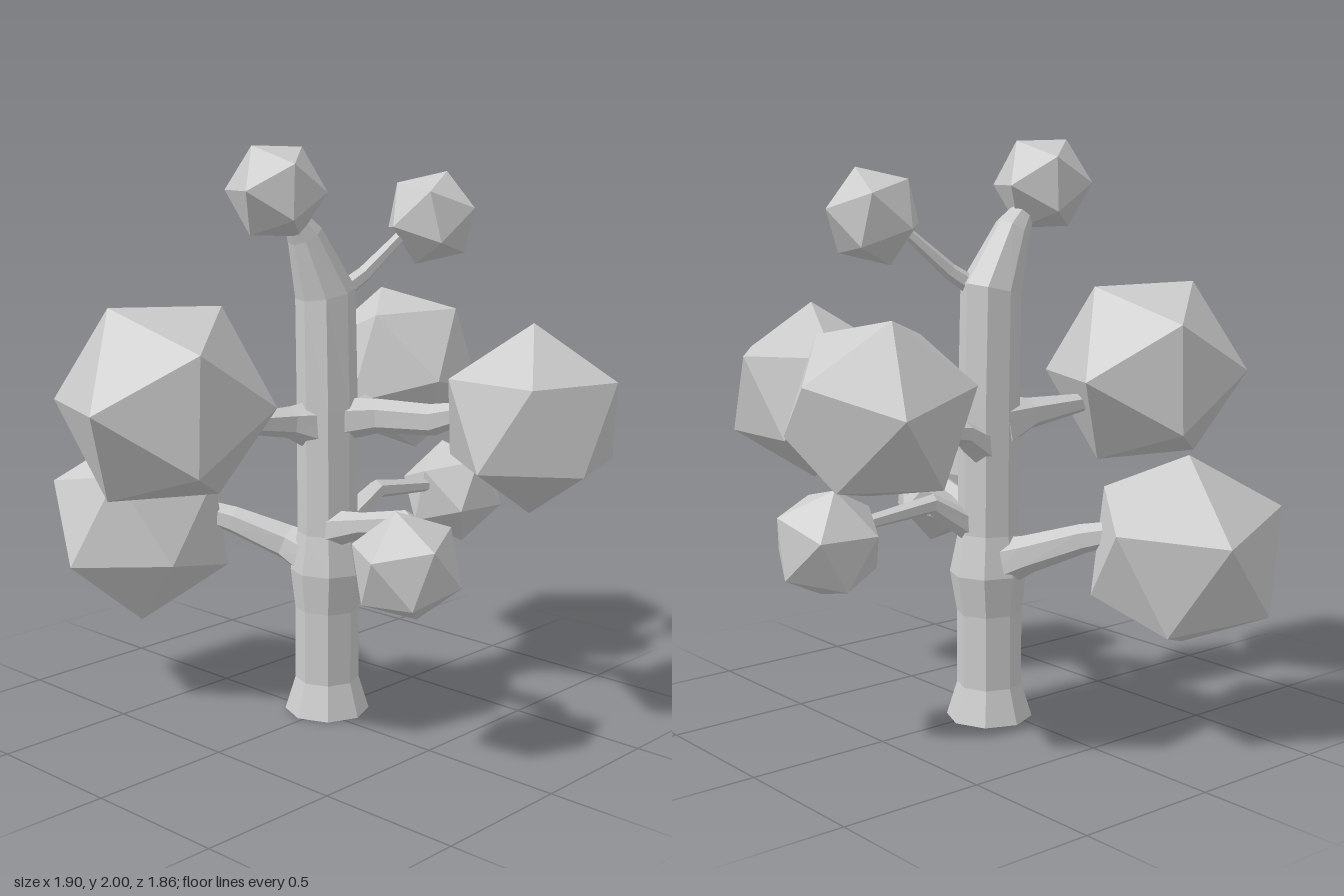
import * as THREE from 'three';

const V = (a) => new THREE.Vector3(...a);
const material = new THREE.MeshStandardMaterial({ color: 0xcccccc, flatShading: true });

// Faceted limb: rings [x, y, z, radius] joined into a closed tube
function limb(name, rings, sides, ref) {
  const centres = rings.map((r) => V(r));
  const pos = [];
  const index = [];
  const last = rings.length - 1;
  rings.forEach((ring, i) => {
    const t = new THREE.Vector3();
    if (i > 0) t.add(centres[i].clone().sub(centres[i - 1]).normalize());
    if (i < last) t.add(centres[i + 1].clone().sub(centres[i]).normalize());
    t.normalize();
    const u = ref.clone().addScaledVector(t, -ref.dot(t)).normalize();
    const v = t.clone().cross(u);
    for (let k = 0; k < sides; k++) {
      const a = (k / sides) * Math.PI * 2;
      const p = centres[i].clone()
        .addScaledVector(u, Math.cos(a) * ring[3])
        .addScaledVector(v, Math.sin(a) * ring[3]);
      pos.push(p.x, p.y, p.z);
      const n = (k + 1) % sides;
      const a0 = i * sides + k;
      const b0 = i * sides + n;
      if (i < last) index.push(a0, b0, a0 + sides, b0, b0 + sides, a0 + sides);
    }
  });
  // End caps
  const top = last * sides;
  for (let k = 1; k < sides - 1; k++) {
    index.push(0, k + 1, k, top, top + k, top + k + 1);
  }
  const geometry = new THREE.BufferGeometry();
  geometry.setAttribute('position', new THREE.Float32BufferAttribute(pos, 3));
  geometry.setIndex(index);
  const flat = geometry.toNonIndexed();
  flat.computeVertexNormals();
  const mesh = new THREE.Mesh(flat, material);
  mesh.name = name;
  return mesh;
}

// Rotation frame from one corner direction and a neighbouring corner
function frame(corner, neighbour) {
  const p = V(corner).normalize();
  const q = V(neighbour);
  q.addScaledVector(p, -p.dot(q)).normalize();
  return new THREE.Matrix4().makeBasis(p, q, p.clone().cross(q));
}

// Twenty-sided foliage ball, turned so its corners match the given directions
const PHI = (1 + Math.sqrt(5)) / 2;
const baseInverse = frame([1, PHI, 0], [-1, PHI, 0]).invert();
function foliage(name, centre, radius, corner, neighbour) {
  const mesh = new THREE.Mesh(new THREE.IcosahedronGeometry(radius, 0), material);
  mesh.quaternion.setFromRotationMatrix(frame(corner, neighbour).multiply(baseInverse));
  mesh.position.set(...centre);
  mesh.name = name;
  return mesh;
}

export function createModel() {
  const tree = new THREE.Group();
  tree.name = 'tree';

  // Trunk: flared foot, swollen knot, straight shaft and bent tip
  tree.add(limb('trunk', [
    [0.05, 0, -0.02, 0.15],
    [0.05, 0.12, -0.02, 0.113],
    [0.05, 0.38, -0.02, 0.113],
    [0.055, 0.52, -0.02, 0.133],
    [0.052, 0.66, -0.02, 0.106],
    [0.05, 1.1, -0.02, 0.106],
    [0.045, 1.5, -0.025, 0.105],
    [-0.04, 1.7, -0.04, 0.062],
    [-0.085, 1.76, -0.045, 0.04],
  ], 8, new THREE.Vector3(0, 0, 1)));

  // Branches, each reaching into its foliage ball
  const up = new THREE.Vector3(0, 1, 0);
  const branches = {
    topRightBranch: [[0.07, 1.49, 0, 0.035], [0.17, 1.56, 0.04, 0.028], [0.31, 1.69, 0.09, 0.02]],
    lowerSideBranch: [[0.08, 0.66, 0, 0.055], [0.27, 0.78, 0.02, 0.035], [0.58, 0.745, 0.03, 0.022]],
    upperSideBranch: [[0.06, 0.94, -0.03, 0.07], [0.22, 1.03, -0.09, 0.042], [0.45, 1.07, -0.16, 0.03]],
    upperLeftBranch: [[0.03, 1.04, -0.04, 0.1], [-0.1, 1.065, -0.06, 0.055], [-0.36, 1.09, -0.1, 0.028]],
    backBranch: [[0.04, 0.55, -0.05, 0.09], [0, 0.6, -0.17, 0.065], [-0.1, 0.67, -0.34, 0.05], [-0.16, 0.7, -0.45, 0.04]],
    frontBranch: [[0.06, 1.06, 0, 0.08], [0.14, 1.08, 0.14, 0.06], [0.21, 1.08, 0.32, 0.055], [0.25, 1.12, 0.45, 0.035]],
    lowerFrontBranch: [[0.03, 0.68, 0.03, 0.065], [0, 0.73, 0.2, 0.042], [-0.02, 0.775, 0.4, 0.045], [-0.06, 0.75, 0.5, 0.03]],
  };
  for (const [name, rings] of Object.entries(branches)) tree.add(limb(name, rings, 6, up));

  // Foliage: name, centre, radius, one corner direction, neighbouring corner direction
  const faceA = [-0.285, 0.536, 0.795];
  const faceB = [0.607, -0.02, 0.795];
  const balls = [
    ['upperLeftFoliage', [-0.59, 1.185, -0.135], 0.366, faceA, faceB],
    ['topFoliage', [-0.16, 1.85, -0.055], 0.172, faceA, faceB],
    ['backFoliage', [-0.3, 0.647, -0.618], 0.35, [0.061, 0.339, -0.066], [0.337, 0.09, -0.013]],
    ['frontFoliage', [0.325, 1.11, 0.65], 0.32, [0, 1, 0], [0.894, 0.447, 0]],
    ['upperSideFoliage', [0.648, 1.158, -0.213], 0.319, [0.297, 0.1, -0.03], [0.07, 0.287, -0.122]],
    ['lowerSideFoliage', [0.685, 0.705, 0.03], 0.193, [0.01, 0.187, -0.06], [0.164, 0.093, 0.05]],
    ['lowerFrontFoliage', [-0.173, 0.688, 0.538], 0.19, [-0.04, 0.18, -0.01], [-0.19, 0.03, 0.015]],
    ['topRightFoliage', [0.42, 1.745, 0.128], 0.17, [0.048, 0.16, 0.03], [0.159, 0.024, 0.03]],
  ];
  for (const ball of balls) tree.add(foliage(...ball));

  return tree;
}
